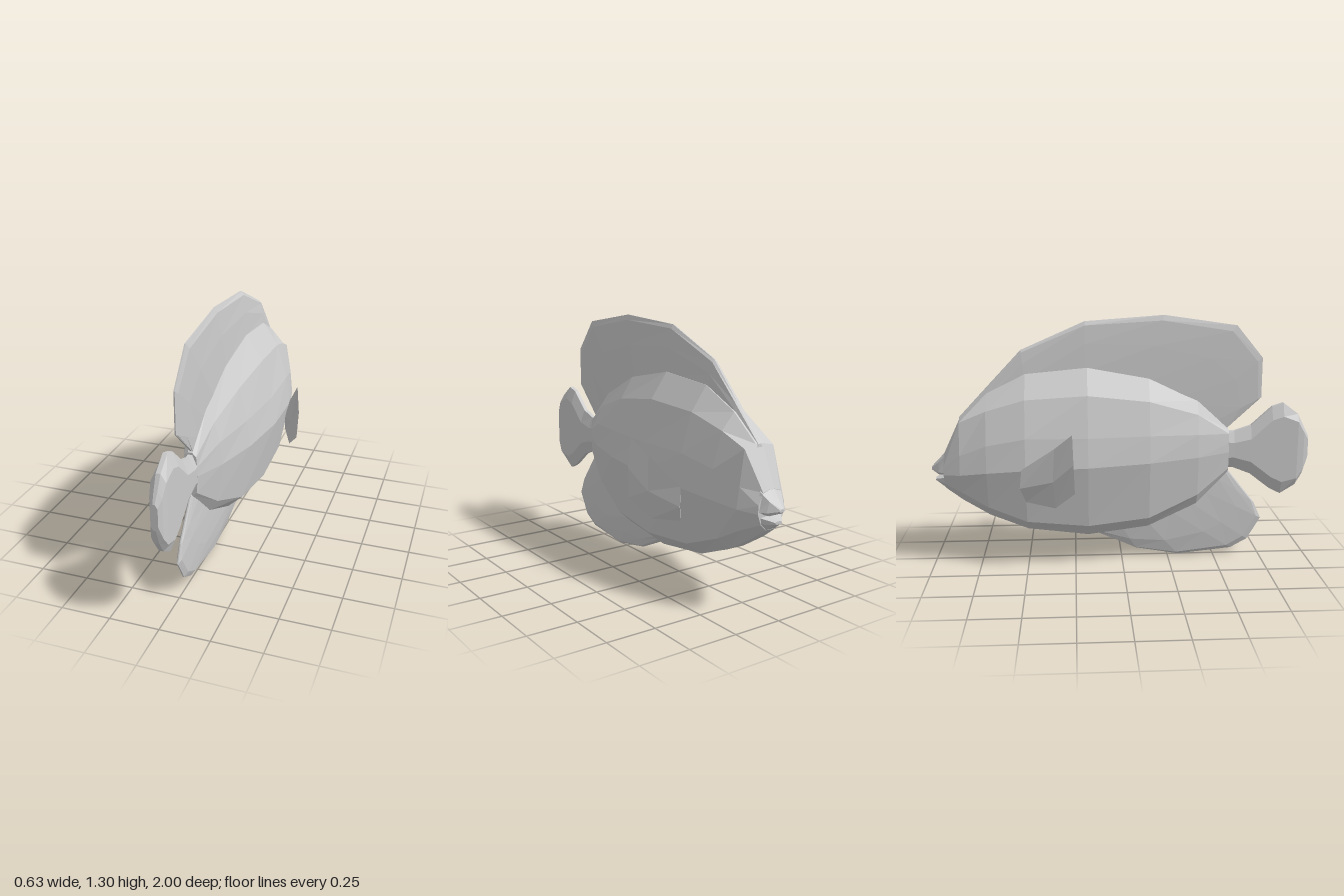
import * as THREE from 'three';

const grey = new THREE.MeshStandardMaterial({ color: 0xcccccc });
grey.name = 'plain grey';

// Skins a list of closed loops of [x, y, z] points with flat facets and capped ends
function loft(name, loops) {
  const pos = [];
  const tri = (a, b, c) => pos.push(...a, ...b, ...c);
  const n = loops[0].length;
  for (let i = 0; i < loops.length - 1; i++) {
    for (let j = 0; j < n; j++) {
      const k = (j + 1) % n;
      const a = loops[i][j], b = loops[i][k], c = loops[i + 1][k], d = loops[i + 1][j];
      tri(a, d, c);
      tri(a, c, b);
    }
  }
  const cap = (loop, flip) => {
    const mid = [0, 1, 2].map(q => loop.reduce((s, p) => s + p[q], 0) / n);
    loop.forEach((p, j) => {
      const next = loop[(j + 1) % n];
      flip ? tri(mid, next, p) : tri(mid, p, next);
    });
  };
  cap(loops[0], false);
  cap(loops[loops.length - 1], true);
  const geo = new THREE.BufferGeometry();
  geo.setAttribute('position', new THREE.Float32BufferAttribute(pos, 3));
  geo.computeVertexNormals();
  const mesh = new THREE.Mesh(geo, grey);
  mesh.name = name;
  return mesh;
}

// Completes a half profile of [x, y, z] points with its mirror image
const mirrored = half => [...half, ...half.map(([x, y, z]) => [-x, y, z]).reverse()];
// Section lying in one z plane: half profile of [halfWidth, y] from bottom to top
const slice = (z, half) => mirrored(half.map(([w, y]) => [w, y, z]));

// Thin blade between a base line [z, y, halfWidth] and an outer rim [z, y]
function blade(name, base, rim) {
  return loft(name, base.map(([bz, by, w], i) => {
    const [rz, ry] = rim[i];
    const at = (t, x) => [x, by + (ry - by) * t, bz + (rz - bz) * t];
    return mirrored([at(0, w), at(0.55, w * 0.75), at(0.92, w * 0.45), at(1, 0.003)]);
  }));
}

export function createModel() {
  const fish = new THREE.Group();
  fish.name = 'fish';

  // Body: belly keel, belly edge, flank, upper flank, shoulder, back
  fish.add(loft('body', [
    slice(0.57, [[0.015, 0.47], [0.03, 0.49], [0.037, 0.58], [0.035, 0.63], [0.03, 0.68], [0.012, 0.70]]),
    slice(0.40, [[0.035, 0.30], [0.075, 0.36], [0.10, 0.57], [0.09, 0.69], [0.06, 0.79], [0.02, 0.86]]),
    slice(0.14, [[0.045, 0.18], [0.12, 0.25], [0.165, 0.56], [0.145, 0.70], [0.10, 0.87], [0.03, 0.98]]),
    slice(-0.18, [[0.05, 0.14], [0.145, 0.22], [0.205, 0.55], [0.18, 0.70], [0.127, 0.91], [0.035, 1.04]]),
    slice(-0.50, [[0.05, 0.18], [0.145, 0.25], [0.20, 0.54], [0.178, 0.70], [0.12, 0.89], [0.035, 1.01]]),
    slice(-0.70, [[0.045, 0.26], [0.12, 0.325], [0.165, 0.52], [0.15, 0.66], [0.10, 0.83], [0.03, 0.91]]),
    slice(-0.84, [[0.04, 0.345], [0.09, 0.40], [0.125, 0.50], [0.11, 0.60], [0.085, 0.77], [0.02, 0.785]]),
    slice(-0.93, [[0.03, 0.41], [0.06, 0.44], [0.078, 0.49], [0.075, 0.53], [0.05, 0.585], [0.015, 0.595]]),
  ]));

  // Lips
  fish.add(loft('upperLip', [
    slice(-0.92, [[0.05, 0.485], [0.078, 0.50], [0.06, 0.59], [0.015, 0.605]]),
    slice(-0.96, [[0.04, 0.485], [0.055, 0.50], [0.04, 0.55], [0.012, 0.56]]),
    slice(-1.0, [[0.01, 0.505], [0.014, 0.51], [0.012, 0.515], [0.005, 0.52]]),
  ]));
  fish.add(loft('lowerLip', [
    slice(-0.92, [[0.03, 0.405], [0.065, 0.44], [0.07, 0.475], [0.02, 0.48]]),
    slice(-0.98, [[0.01, 0.445], [0.02, 0.45], [0.02, 0.455], [0.01, 0.46]]),
  ]));

  // Dorsal fin, back to front
  fish.add(blade('dorsalFin',
    [[0.55, 0.69, 0.01], [0.50, 0.75, 0.015], [0.42, 0.83, 0.02], [0.30, 0.88, 0.026],
      [0.12, 0.96, 0.03], [-0.19, 1.02, 0.034], [-0.50, 0.98, 0.034], [-0.69, 0.88, 0.03], [-0.85, 0.75, 0.02]],
    [[0.565, 0.71], [0.74, 0.87], [0.74, 1.08], [0.60, 1.25],
      [0.22, 1.305], [-0.19, 1.275], [-0.52, 1.13], [-0.69, 0.95], [-0.845, 0.785]]));

  // Anal fin, front to back
  fish.add(blade('analFin',
    [[-0.13, 0.17, 0.045], [0.0, 0.18, 0.045], [0.14, 0.20, 0.045], [0.26, 0.26, 0.04],
      [0.36, 0.31, 0.035], [0.45, 0.36, 0.028], [0.52, 0.43, 0.02], [0.55, 0.48, 0.012]],
    [[-0.14, 0.14], [0.08, 0.04], [0.31, 0.0], [0.60, 0.03],
      [0.69, 0.08], [0.76, 0.20], [0.72, 0.29], [0.565, 0.485]]));

  // Tail fin with a bevelled rim: z, bottom, top, half width, rim depth
  fish.add(loft('tailFin', [
    [1.0, 0.53, 0.66, 0.018, 0.02], [0.975, 0.45, 0.71, 0.03, 0.03], [0.94, 0.39, 0.78, 0.037, 0.04],
    [0.86, 0.34, 0.84, 0.037, 0.07], [0.80, 0.37, 0.82, 0.037, 0.07], [0.69, 0.455, 0.72, 0.037, 0.07],
    [0.60, 0.49, 0.69, 0.036, 0.06], [0.50, 0.50, 0.69, 0.036, 0.05],
  ].map(([z, lo, hi, w, d]) => slice(z, [[w * 0.3, lo], [w, lo + d], [w, hi - d], [w * 0.3, hi]]))));

  // Pectoral fins: loops of bottom, outer face, top, inner face from tip to root
  const pectoral = [
    [[0.31, 0.45, -0.25], [0.317, 0.60, -0.255], [0.303, 0.75, -0.26], [0.307, 0.60, -0.265]],
    [[0.245, 0.355, -0.35], [0.272, 0.50, -0.36], [0.262, 0.67, -0.35], [0.25, 0.50, -0.345]],
    [[0.18, 0.37, -0.50], [0.207, 0.45, -0.53], [0.195, 0.545, -0.52], [0.175, 0.45, -0.49]],
  ];
  fish.add(loft('leftPectoralFin', pectoral));
  fish.add(loft('rightPectoralFin',
    pectoral.map(loop => loop.map(([x, y, z]) => [-x, y, z]).reverse())));

  return fish;
}
